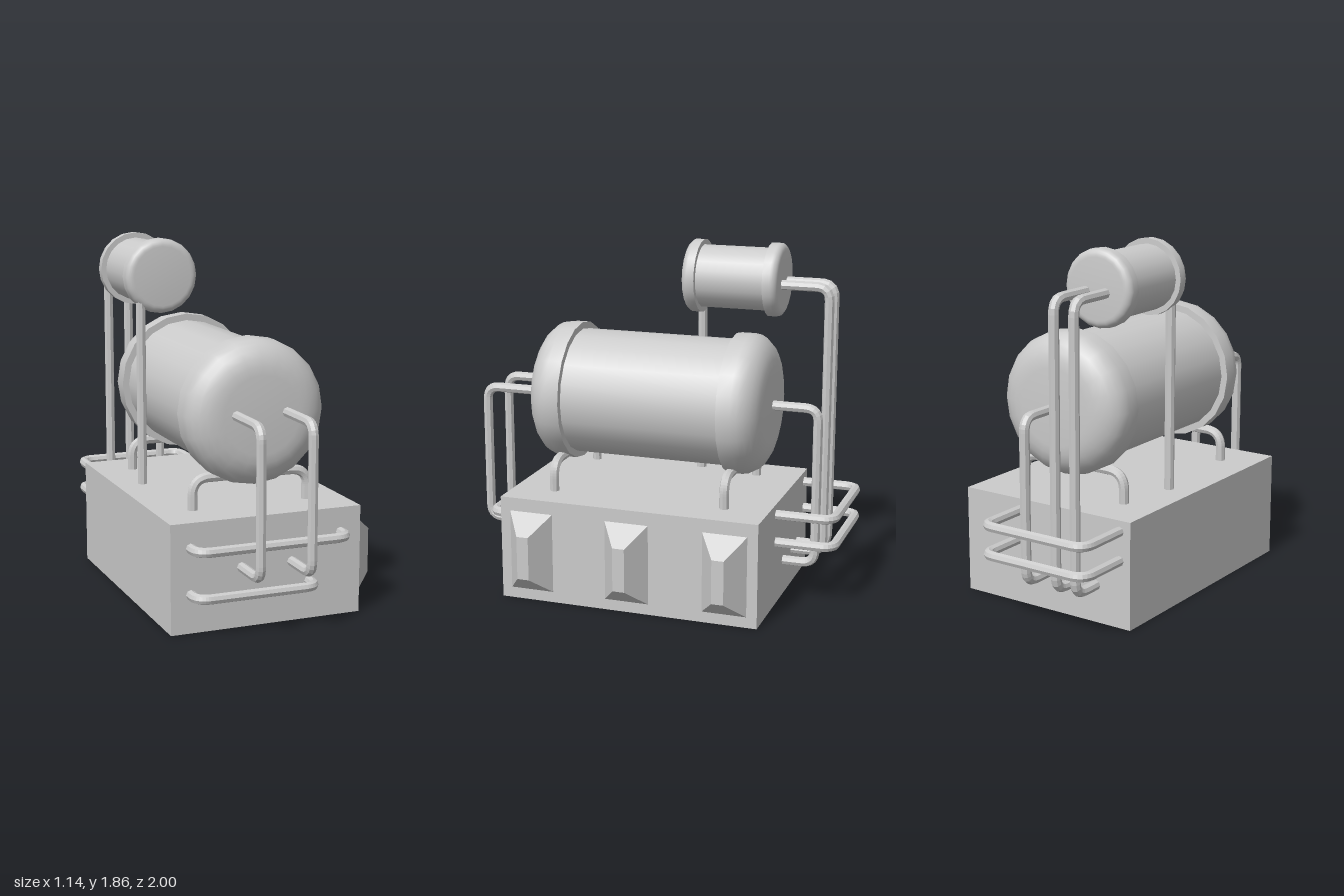
import * as THREE from 'three';
import { toCreasedNormals } from 'three/addons/utils/BufferGeometryUtils.js';

const smooth = new THREE.MeshStandardMaterial({ color: 0xcccccc });
const faceted = new THREE.MeshStandardMaterial({ color: 0xcccccc, flatShading: true });
const PIPE = 0.026;

function add(parent, name, geometry, material = smooth) {
  const mesh = new THREE.Mesh(geometry, material);
  mesh.name = name;
  parent.add(mesh);
  return mesh;
}

// Octagonal pipe through corner points, with rounded bends
function pipe(parent, name, corners, bend = 0.07) {
  const p = corners.map((c) => new THREE.Vector3(...c));
  const path = new THREE.CurvePath();
  let from = p[0];
  for (let i = 1; i < p.length - 1; i++) {
    const a = p[i - 1].clone().sub(p[i]).setLength(bend).add(p[i]);
    const b = p[i + 1].clone().sub(p[i]).setLength(bend).add(p[i]);
    path.add(new THREE.LineCurve3(from, a));
    path.add(new THREE.QuadraticBezierCurve3(a, p[i], b));
    from = b;
  }
  path.add(new THREE.LineCurve3(from, p[p.length - 1]));
  add(parent, name, new THREE.TubeGeometry(path, p.length > 2 ? 72 : 1, PIPE, 8), faceted);
}

// Horizontal tank along z: a barrel with a wider rounded cap on each end
function tank(parent, name, { x, y, back, front, r, capR, capLen, roundR, roundZ }) {
  const group = new THREE.Group();
  group.name = name;
  group.position.set(x, y, 0);
  parent.add(group);

  const length = front - back - capLen * 2;
  const barrel = new THREE.CylinderGeometry(r, r, length, 20, 1, true);
  barrel.rotateX(Math.PI / 2);
  add(group, 'barrel', barrel).position.z = (front + back) / 2;

  const profile = [new THREE.Vector2(r - 0.01, 0), new THREE.Vector2(capR, 0)];
  for (let i = 0; i <= 6; i++) {
    const t = (i / 6) * Math.PI / 2;
    profile.push(new THREE.Vector2(
      capR - roundR + roundR * Math.cos(t),
      capLen - roundZ + roundZ * Math.sin(t)));
  }
  profile.push(new THREE.Vector2(0, capLen));
  const cap = toCreasedNormals(new THREE.LatheGeometry(profile, 20), 0.7);
  const frontCap = add(group, 'frontCap', cap);
  frontCap.rotation.x = Math.PI / 2;
  frontCap.position.z = front - capLen;
  const backCap = add(group, 'backCap', cap);
  backCap.rotation.x = -Math.PI / 2;
  backCap.position.z = back + capLen;
}

// Truncated pyramid on the side wall, narrowing towards +x
function sideStud(parent, z) {
  const geometry = new THREE.BoxGeometry(0.12, 0.43, 0.238);
  const pos = geometry.attributes.position;
  for (let i = 0; i < pos.count; i++) {
    if (pos.getX(i) > 0) {
      pos.setY(i, Math.sign(pos.getY(i)) * 0.117);
      pos.setZ(i, Math.sign(pos.getZ(i)) * 0.032);
    }
  }
  add(parent, 'sideStud', geometry, faceted).position.set(0.51, 0.273, z);
}

export function createModel() {
  const model = new THREE.Group();
  model.name = 'tankUnit';

  // Base block with studs on its left wall
  add(model, 'base', new THREE.BoxGeometry(1.02, 0.56, 1.41), faceted)
    .position.set(-0.06, 0.28, 0.032);
  for (const z of [0.565, 0.032, -0.498]) sideStud(model, z);

  // Tanks
  tank(model, 'mainTank', {
    x: -0.06, y: 1.045, back: -0.603, front: 0.668, r: 0.336,
    capR: 0.372, capLen: 0.205, roundR: 0.17, roundZ: 0.13,
  });
  tank(model, 'upperTank', {
    x: -0.312, y: 1.665, back: -0.588, front: -0.067, r: 0.168,
    capR: 0.196, capLen: 0.075, roundR: 0.04, roundZ: 0.035,
  });

  // Saddle arches under the main tank and the post under the upper tank
  for (const z of [0.51, -0.435]) {
    pipe(model, 'supportArch',
      [[-0.37, 0.54, z], [-0.37, 0.72, z], [0.255, 0.72, z], [0.255, 0.54, z]], 0.09);
  }
  pipe(model, 'supportPost', [[-0.425, 0.54, -0.1], [-0.425, 1.54, -0.1]]);

  // Feed pipes from the main tank's front to the base
  for (const x of [-0.197, 0.073]) {
    pipe(model, 'frontFeedPipe',
      [[x, 1.053, 0.62], [x, 1.053, 0.974], [x, 0.308, 0.974], [x, 0.308, 0.71]]);
  }

  // Return pipes from both tanks' backs to the base
  for (const [x, y, z] of [[-0.365, 1.65, -0.55], [-0.248, 1.65, -0.55], [-0.063, 1.045, -0.55]]) {
    pipe(model, 'backReturnPipe',
      [[x, y, z], [x, y, -0.845], [x, 0.197, -0.845], [x, 0.197, -0.64]]);
  }

  // Rails bent out from the front and back walls
  for (const [y, x0, x1, wall, out] of [
    [0.432, -0.465, 0.34, 0.71, 0.836],
    [0.197, -0.465, 0.168, 0.71, 0.836],
    [0.503, -0.505, 0.1, -0.64, -0.975],
    [0.352, -0.505, 0.1, -0.64, -0.975],
  ]) {
    pipe(model, wall > 0 ? 'frontRail' : 'backRail',
      [[x0, y, wall], [x0, y, out], [x1, y, out], [x1, y, wall]]);
  }

  return model;
}
